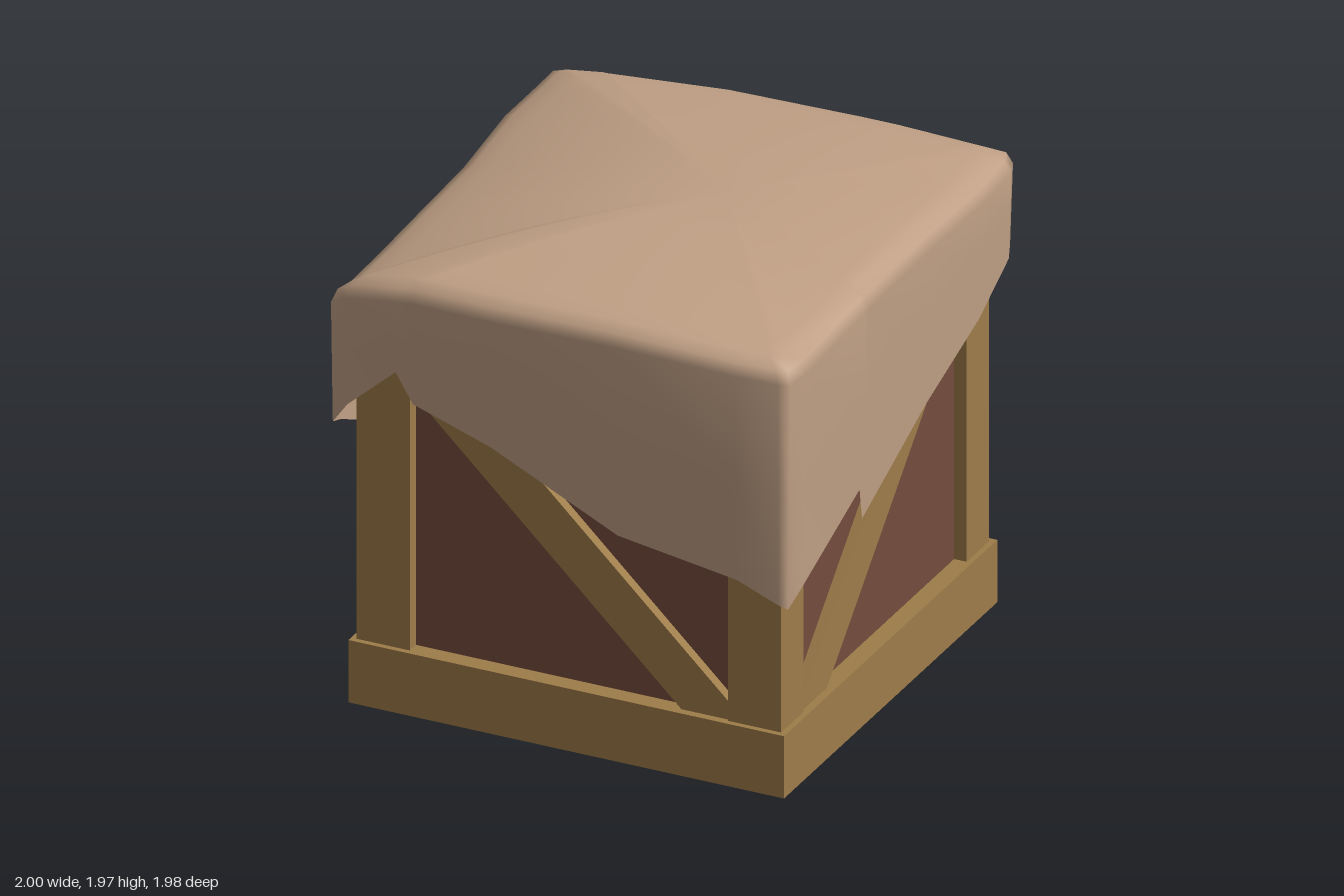
import * as THREE from 'three';

const wood = new THREE.MeshStandardMaterial({ color: 0x9e7c49 });
wood.name = 'wood';
const panel = new THREE.MeshStandardMaterial({ color: 0x754c3d });
panel.name = 'darkPanel';
const cloth = new THREE.MeshStandardMaterial({ color: 0xc0a085, side: THREE.DoubleSide });
cloth.name = 'cloth';

// Crate centre on the ground plane
const CX = 0.015, CZ = -0.035;

function add(group, name, geometry, material, x = 0, y = 0, z = 0) {
  const mesh = new THREE.Mesh(geometry, material);
  mesh.name = name;
  mesh.position.set(x, y, z);
  group.add(mesh);
  return mesh;
}

// Square ring of half-widths outer and inner, from y0 to y1
function ring(group, name, outer, inner, y0, y1, material) {
  const square = (C, h) => new C([[-h, -h], [h, -h], [h, h], [-h, h]].map(p => new THREE.Vector2(...p)));
  const shape = square(THREE.Shape, outer);
  shape.holes.push(square(THREE.Path, inner));
  const g = new THREE.ExtrudeGeometry(shape, { depth: y1 - y0, bevelEnabled: false });
  g.rotateX(-Math.PI / 2);
  add(group, name, g, material, 0, y0, 0);
}

function createCrate() {
  const crate = new THREE.Group();
  crate.name = 'crate';
  crate.position.set(CX, 0, CZ);

  ring(crate, 'panelWalls', 0.828, 0.815, 0, 1.66, panel);
  ring(crate, 'bottomFrame', 0.903, 0.828, 0.03, 0.29, wood);
  ring(crate, 'topFrame', 0.903, 0.828, 1.43, 1.69, wood);
  add(crate, 'floor', new THREE.BoxGeometry(1.63, 0.03, 1.63), wood, 0, 0.285, 0);
  add(crate, 'lid', new THREE.BoxGeometry(1.65, 0.03, 1.65), wood, 0, 1.66, 0);

  // Corner posts
  for (const sx of [-1, 1]) for (const sz of [-1, 1]) {
    add(crate, 'cornerPost', new THREE.BoxGeometry(0.22, 1.4, 0.19), wood, sx * 0.77, 0.98, sz * 0.785);
  }

  // One diagonal brace per side, opposite sides leaning alike
  for (const s of [-1, 1]) {
    const a = add(crate, 'diagonalBrace', new THREE.BoxGeometry(1.84, 0.19, 0.055), wood, 0, 0.865, s * 0.843);
    a.rotation.z = -0.765;
    const b = add(crate, 'diagonalBrace', new THREE.BoxGeometry(0.055, 0.18, 1.84), wood, s * 0.843, 0.865, 0);
    b.rotation.x = 0.76;
  }
  return crate;
}

// Draped cover stations, anticlockwise from above: x, z, shoulder height, hem height
const DRAPE = [
  // front
  [-0.93, 0.93, 1.72, 1.22], [-0.86, 0.945, 1.76, 1.31], [-0.65, 0.97, 1.80, 1.50],
  [-0.58, 0.975, 1.81, 1.38], [-0.26, 0.98, 1.81, 1.27], [0.26, 0.985, 1.82, 1.01],
  [0.75, 0.95, 1.79, 0.93], [0.92, 0.925, 1.78, 0.86], [0.965, 0.91, 1.78, 0.845],
  // +x side
  [0.975, 0.80, 1.78, 0.885], [0.985, 0.32, 1.82, 1.08], [0.985, 0.29, 1.82, 0.945],
  [0.99, -0.24, 1.84, 1.19], [1.0, -0.66, 1.84, 1.35], [0.98, -0.93, 1.84, 1.48],
  [0.96, -0.985, 1.85, 1.52],
  // back
  [0.88, -0.99, 1.85, 1.48], [0.56, -0.99, 1.86, 1.325], [0.40, -0.99, 1.86, 1.40],
  [-0.20, -0.99, 1.85, 1.17], [-0.74, -0.985, 1.81, 0.97], [-0.76, -0.985, 1.81, 1.50],
  [-0.90, -0.985, 1.79, 1.28], [-0.95, -0.97, 1.78, 1.20],
  // -x side
  [-0.965, -0.88, 1.76, 1.12], [-1.0, -0.66, 1.72, 0.93], [-0.985, -0.27, 1.68, 0.62],
  [-0.965, 0.25, 1.68, 0.88], [-0.945, 0.54, 1.69, 1.05], [-0.93, 0.86, 1.70, 1.20],
];

function createCover() {
  const peak = [0.2, 1.965, -0.1];
  const n = DRAPE.length;
  const pos = [...peak], index = [];
  const lerp = THREE.MathUtils.lerp, clamp = THREE.MathUtils.clamp;

  // Domed top, growing from the peak to the rim
  for (const t of [0.3, 0.55, 0.78, 0.92, 1]) {
    for (const [x, z, y] of DRAPE) {
      pos.push(lerp(peak[0], x * 0.93, t), lerp(peak[1], y + 0.08, t * t), lerp(peak[2], z * 0.93, t));
    }
  }
  // Rounded shoulder
  for (const [scale, lift] of [[0.98, 0.05], [1, 0]]) {
    for (const [x, z, y] of DRAPE) pos.push(x * scale, y + lift, z * scale);
  }
  // Skirt, drawing in towards the crate as it hangs lower
  for (const t of [0.5, 1]) {
    for (const [x, z, y, hem] of DRAPE) {
      const k = Math.min(1, (y - hem) * t);
      pos.push(lerp(x, clamp(x, -0.92, 0.955), k), lerp(y, hem, t), lerp(z, clamp(z, -0.92, 0.92), k));
    }
  }

  const rows = (pos.length / 3 - 1) / n;
  const id = (r, i) => 1 + r * n + (i % n);
  for (let i = 0; i < n; i++) {
    index.push(0, id(0, i), id(0, i + 1));
    for (let r = 0; r < rows - 1; r++) {
      const a = id(r, i), b = id(r, i + 1), c = id(r + 1, i), d = id(r + 1, i + 1);
      index.push(a, c, d, a, d, b);
    }
  }
  const g = new THREE.BufferGeometry();
  g.setAttribute('position', new THREE.Float32BufferAttribute(pos, 3));
  g.setIndex(index);
  g.computeVertexNormals();
  return g;
}

export function createModel() {
  const model = new THREE.Group();
  model.name = 'coveredCrate';
  model.add(createCrate());
  add(model, 'clothCover', createCover(), cloth);
  return model;
}
